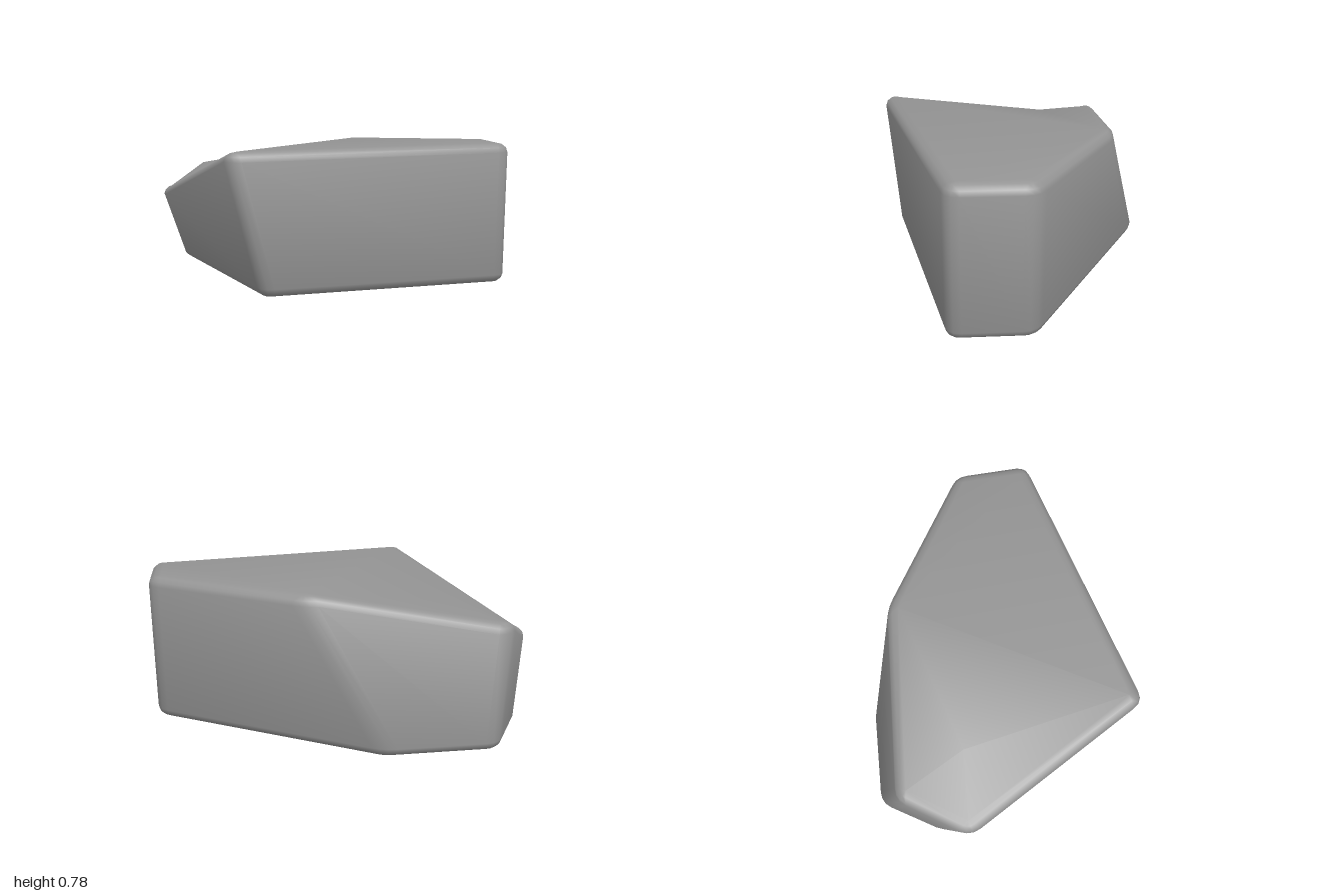
import * as THREE from 'three';
import { mergeVertices } from 'three/addons/utils/BufferGeometryUtils.js';

const WIDTH = 0.065;  // how far the rounding reaches in from each edge
const HEIGHT = 0.05;  // how far it reaches down the walls
const STEPS = 3;      // segments per rounded edge

// Corners [x, z, height], counter-clockwise from above
const TOP = [
  [1.019, -0.375, 0.781], [0.795, -0.72, 0.781], [-0.1, -0.72, 0.765],
  [-1, -0.255, 0.605], [-1, 0.165, 0.483], [-0.045, 0.738, 0.762],
];
const BOTTOM = [
  [1.019, -0.375, 0], [0.795, -0.72, 0], [-0.51, -0.72, 0],
  [-1, -0.43, 0], [-1, -0.01, 0], [0.045, 0.59, 0],
];
const SLOPE_MIDDLE = [-0.63, 0.632, -0.03]; // x, y, z within the sloping part of the top

// For each corner: the inset point, and the curve that rounds it in plan
function roundedCorners(poly) {
  const n = poly.length;
  const points = poly.map(([x, z]) => new THREE.Vector2(x, z));
  return points.map((p, i) => {
    const back = points[(i + n - 1) % n].clone().sub(p).normalize();
    const ahead = points[(i + 1) % n].clone().sub(p).normalize();
    const sine = Math.abs(back.cross(ahead));
    return {
      y: poly[i][2],
      inset: p.clone().addScaledVector(back, WIDTH / sine).addScaledVector(ahead, WIDTH / sine),
      curve: new THREE.QuadraticBezierCurve(
        p.clone().addScaledVector(back, WIDTH), p, p.clone().addScaledVector(ahead, WIDTH)),
    };
  });
}

// One loop around the stone at rounding angle phi (0 = wall, 90 degrees = cap)
function ring(corners, phi, side) {
  const positions = [];
  for (const { y, inset, curve } of corners) {
    for (const b of curve.getPoints(STEPS)) {
      const p = inset.clone().lerp(b, Math.cos(phi));
      positions.push(p.x, y - side * HEIGHT * (1 - Math.sin(phi)), p.y);
    }
  }
  return positions;
}

// Smooth normals that count every face equally, so the shading drifts softly across the walls
function setSoftNormals(geometry) {
  const pos = geometry.attributes.position, idx = geometry.index;
  const sums = Array.from({ length: pos.count }, () => new THREE.Vector3());
  const tri = new THREE.Triangle(), normal = new THREE.Vector3();
  for (let i = 0; i < idx.count; i += 3) {
    const corners = [idx.getX(i), idx.getX(i + 1), idx.getX(i + 2)];
    tri.setFromAttributeAndIndices(pos, ...corners);
    if (tri.getArea() < 1e-8) continue;
    tri.getNormal(normal);
    corners.forEach((c) => sums[c].add(normal));
  }
  const flat = sums.flatMap((v) => v.normalize().toArray());
  geometry.setAttribute('normal', new THREE.Float32BufferAttribute(flat, 3));
}

function stoneGeometry() {
  const top = roundedCorners(TOP);
  const bottom = roundedCorners(BOTTOM);
  const rings = [];
  for (let i = STEPS; i >= 0; i--) rings.push(ring(bottom, (i / STEPS) * Math.PI / 2, -1));
  for (let i = 0; i <= STEPS; i++) rings.push(ring(top, (i / STEPS) * Math.PI / 2, 1));

  // Walls and rounded edges
  const per = STEPS + 1, count = TOP.length * per, index = [];
  for (let i = 0; i < rings.length - 1; i++) {
    for (let j = 0; j < count; j++) {
      const a = i * count + j, b = i * count + (j + 1) % count;
      index.push(a, b, a + count, b, b + count, a + count);
    }
  }
  // Level part of the top, then the twisted slope fanned around its middle
  const last = (rings.length - 1) * count, middle = rings.length * count;
  const cap = (k) => last + k * per;
  index.push(cap(0), cap(1), cap(2), cap(0), cap(2), cap(5));
  for (let k = 2; k < 5; k++) index.push(middle, cap(k), cap(k + 1));
  index.push(middle, cap(5), cap(2));
  // Flat underside
  for (let i = 1; i < TOP.length - 1; i++) index.push(0, (i + 1) * per, i * per);

  const geometry = new THREE.BufferGeometry();
  const positions = [...rings.flat(), ...SLOPE_MIDDLE];
  geometry.setAttribute('position', new THREE.Float32BufferAttribute(positions, 3));
  geometry.setIndex(index);
  const welded = mergeVertices(geometry, 1e-4);
  setSoftNormals(welded);
  return welded;
}

export function createModel() {
  const group = new THREE.Group();
  group.name = 'stone';
  const block = new THREE.Mesh(stoneGeometry(), new THREE.MeshStandardMaterial({ color: 0x949494 }));
  block.name = 'stoneBlock';
  group.add(block);
  return group;
}
